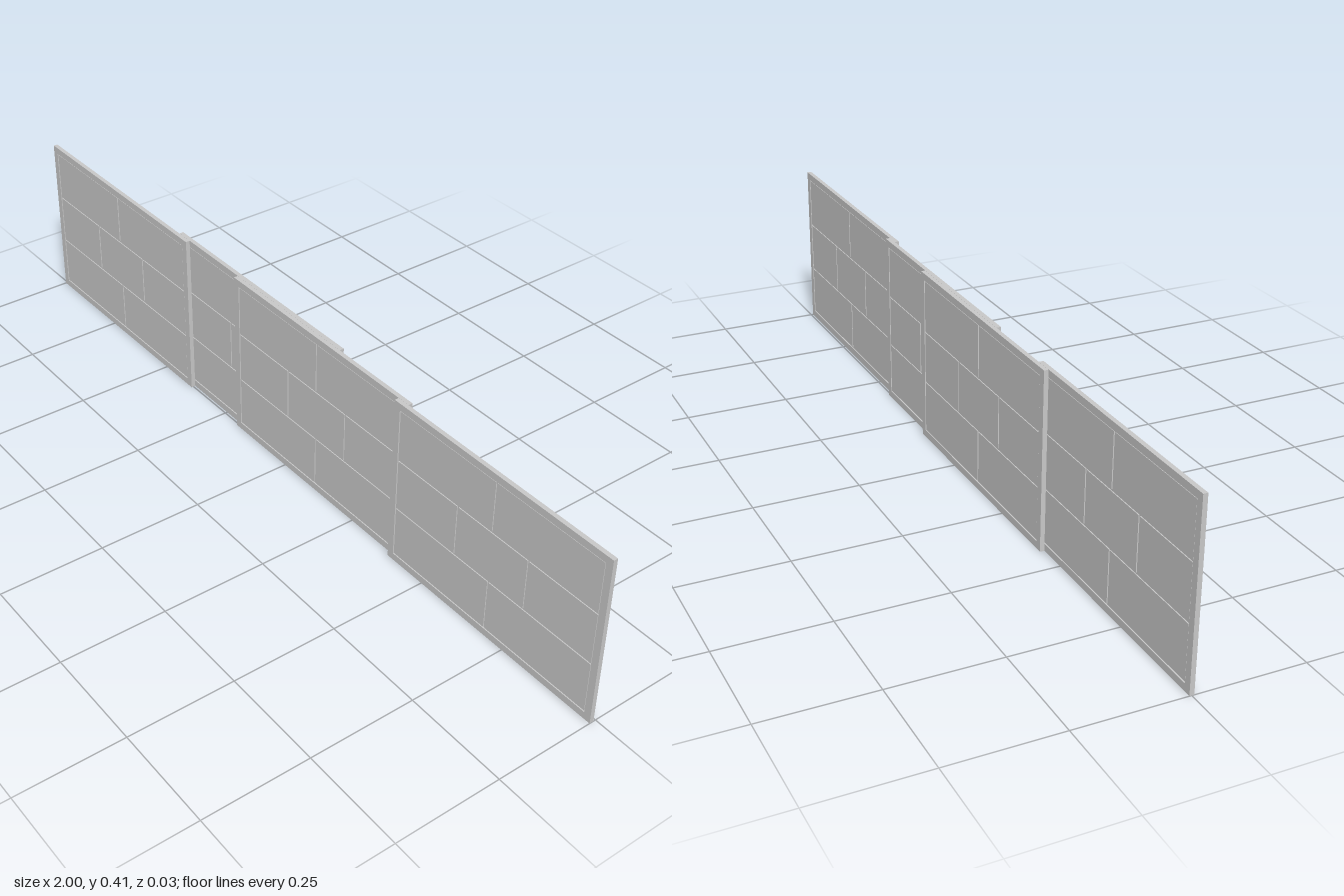
import * as THREE from 'three';

const W = 0.612, H = 0.414, T = 0.0104; // panel width, height, thickness
const RIM = 0.017, GAP = 0.004;         // frame width, joint width

export function createModel() {
  const grey = new THREE.MeshStandardMaterial({ color: 0xc8c8c8 });
  grey.name = 'light stone grey';

  const box = (name, w, h, d, x, y) => {
    const mesh = new THREE.Mesh(new THREE.BoxGeometry(w, h, d), grey);
    mesh.name = name;
    mesh.position.set(x, y, 0);
    return mesh;
  };

  // rectangular frame extruded through the panel thickness
  const outline = new THREE.Shape([
    new THREE.Vector2(-W / 2, 0), new THREE.Vector2(W / 2, 0),
    new THREE.Vector2(W / 2, H), new THREE.Vector2(-W / 2, H),
  ]);
  const ix = W / 2 - RIM;
  outline.holes.push(new THREE.Path([
    new THREE.Vector2(-ix, RIM), new THREE.Vector2(-ix, H - RIM),
    new THREE.Vector2(ix, H - RIM), new THREE.Vector2(ix, RIM),
  ]));
  const frameGeometry = new THREE.ExtrudeGeometry(outline, { depth: T, bevelEnabled: false });
  frameGeometry.translate(0, 0, -T / 2);

  // one framed panel with three courses of blocks on a thin core
  const makePanel = (name) => {
    const panel = new THREE.Group();
    panel.name = name;
    const frame = new THREE.Mesh(frameGeometry, grey);
    frame.name = 'frame';
    panel.add(frame, box('core', 2 * ix, H - 2 * RIM, 0.004, 0, H / 2));

    const rowH = (H - 2 * RIM) / 3;
    const joints = [[0], [-W / 6, W / 6], [0]]; // vertical joints of each course
    joints.forEach((cuts, row) => {
      const xs = [-ix, ...cuts, ix];
      for (let i = 0; i < xs.length - 1; i++) {
        panel.add(box('block', xs[i + 1] - xs[i] - GAP, rowH - GAP, T - 0.002,
          (xs[i] + xs[i + 1]) / 2, RIM + rowH * (row + 0.5)));
      }
    });
    return panel;
  };

  // four overlapping sliding panels on three tracks
  const model = new THREE.Group();
  model.name = 'slidingWall';
  const layout = [
    ['rightEndPanel', -0.694, 0],
    ['rearPanel', -0.125, -1],
    ['middlePanel', 0.113, 0],
    ['leftEndPanel', 0.694, 1],
  ];
  for (const [name, x, track] of layout) {
    const panel = makePanel(name);
    panel.position.set(x, 0, track * 0.0106);
    model.add(panel);
  }
  return model;
}
